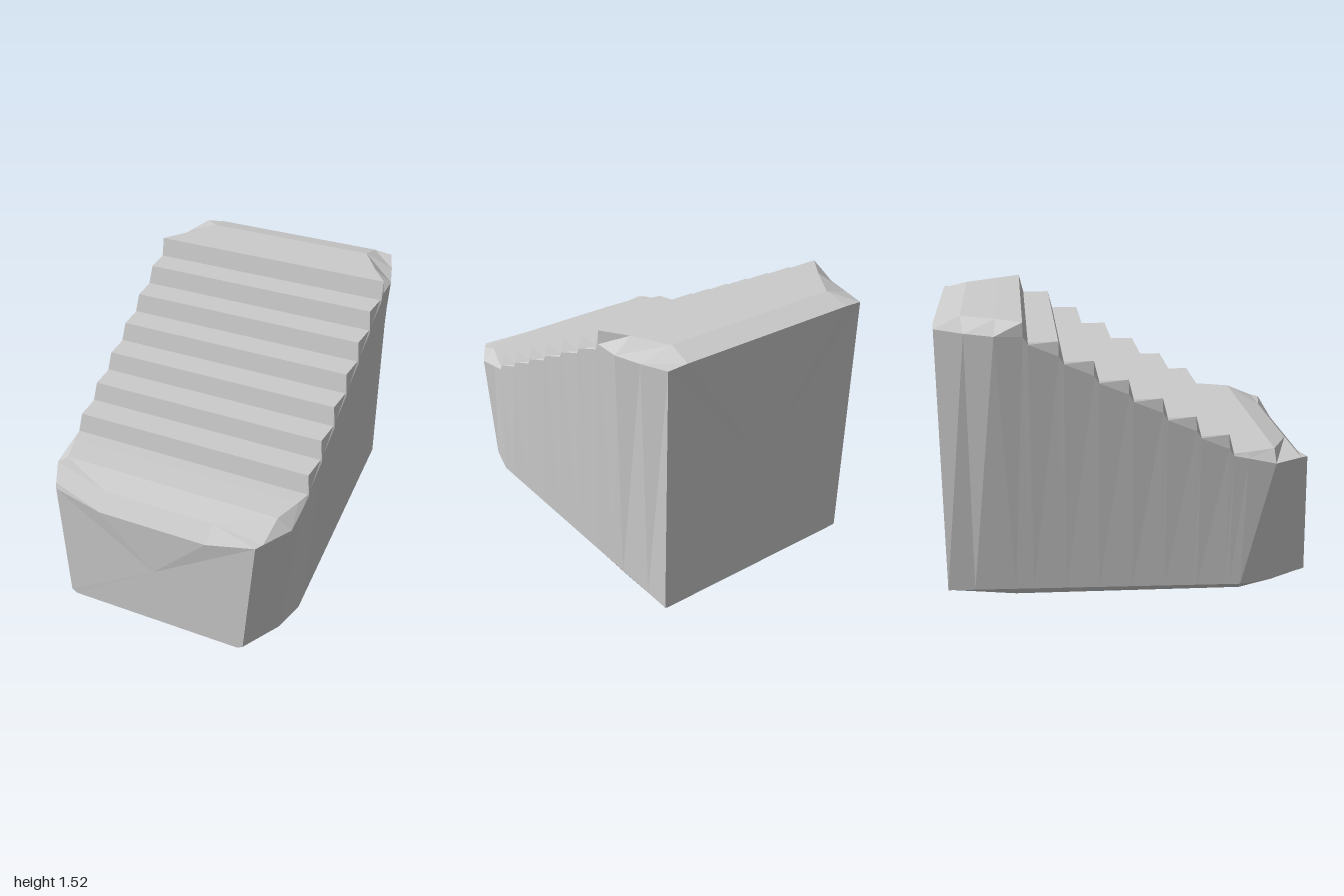
import * as THREE from 'three';

// Piecewise-linear lookup in [z, value] pairs, ordered by z
function lerpTable(table, z) {
  for (let i = 1; i < table.length; i++) {
    const [z0, v0] = table[i - 1], [z1, v1] = table[i];
    if (z <= z1) return v0 + (v1 - v0) * Math.max(0, (z - z0) / (z1 - z0));
  }
  return table[table.length - 1][1];
}

// Skin closed loops (ordered back to front) and cap both ends
function skin(loops) {
  const pos = [];
  const tri = (a, b, c) => pos.push(...a, ...b, ...c);
  const n = loops[0].length;
  for (let s = 1; s < loops.length; s++) {
    const a = loops[s - 1], b = loops[s];
    for (let i = 0; i < n; i++) {
      const j = (i + 1) % n;
      tri(a[i], a[j], b[i]);
      tri(a[j], b[j], b[i]);
    }
  }
  const centre = loop => [0, 1, 2].map(k => loop.reduce((t, p) => t + p[k], 0) / n);
  const back = loops[0], front = loops[loops.length - 1];
  const cb = centre(back), cf = centre(front);
  for (let i = 0; i < n; i++) {
    const j = (i + 1) % n;
    tri(cb, back[j], back[i]);
    tri(cf, front[i], front[j]);
  }
  const geo = new THREE.BufferGeometry();
  geo.setAttribute('position', new THREE.Float32BufferAttribute(pos, 3));
  geo.computeVertexNormals();
  return geo;
}

// Underside: width and height of the lower side edge and of the base
const sideWidth = [[-0.985, 0.605], [0.6, 0.692], [0.78, 0.65], [1, 0.53]];
const baseWidth = [[-0.985, 0.59], [-0.62, 0.6], [0.6, 0.66], [1, 0.5]];
const baseHeight = [[-0.985, 0.035], [-0.62, 0], [0.6, 0.005], [1, 0.02]];

// One mirrored cross-section: top edge and shoulder, each as [x, y, z]
function section(top, shoulder, zBottom) {
  const half = [
    [lerpTable(baseWidth, zBottom), lerpTable(baseHeight, zBottom), zBottom],
    [lerpTable(sideWidth, zBottom), 0.04, zBottom],
    shoulder,
    top,
  ];
  return [...half, ...half.slice().reverse().map(([x, y, z]) => [-x, y, z])];
}

export function createModel() {
  const group = new THREE.Group();
  group.name = 'stairBlock';

  // Rounded back end of the top landing
  const loops = [
    section([0.5, 1.49, -0.997], [0.605, 1.48, -0.99], -0.985),
    section([0.49, 1.522, -0.86], [0.655, 1.465, -0.84], -0.84),
    section([0.6, 1.525, -0.68], [0.697, 1.455, -0.69], -0.62),
  ];

  // Seven risers with slightly narrowed nosings
  const steps = 7, run = 0.177, rise = 0.104;
  for (let i = steps - 1; i >= 0; i--) {
    const zFoot = 0.54 - i * run, yFoot = 0.797 + i * rise;
    const zNose = zFoot - 0.025, yNose = yFoot + rise;
    loops.push(section([i === steps - 1 ? 0.695 : 0.68, yNose, zNose], [0.698, yFoot + 0.03, zNose], zNose));
    loops.push(section([0.69, yFoot, zFoot], [0.698, yFoot - 0.01, zFoot], zFoot));
  }

  // Bottom step tapering to the chamfered front
  loops.push(
    section([0.67, 0.797, 0.62], [0.698, 0.77, 0.62], 0.6),
    section([0.62, 0.795, 0.775], [0.695, 0.735, 0.77], 0.78),
    section([0.32, 0.755, 0.91], [0.605, 0.732, 0.93], 0.93),
    section([0.31, 0.67, 0.987], [0.58, 0.728, 0.97], 1),
  );

  const material = new THREE.MeshStandardMaterial({ color: 0xcccccc, flatShading: true });
  const stairs = new THREE.Mesh(skin(loops), material);
  stairs.name = 'stairs';
  group.add(stairs);
  return group;
}
